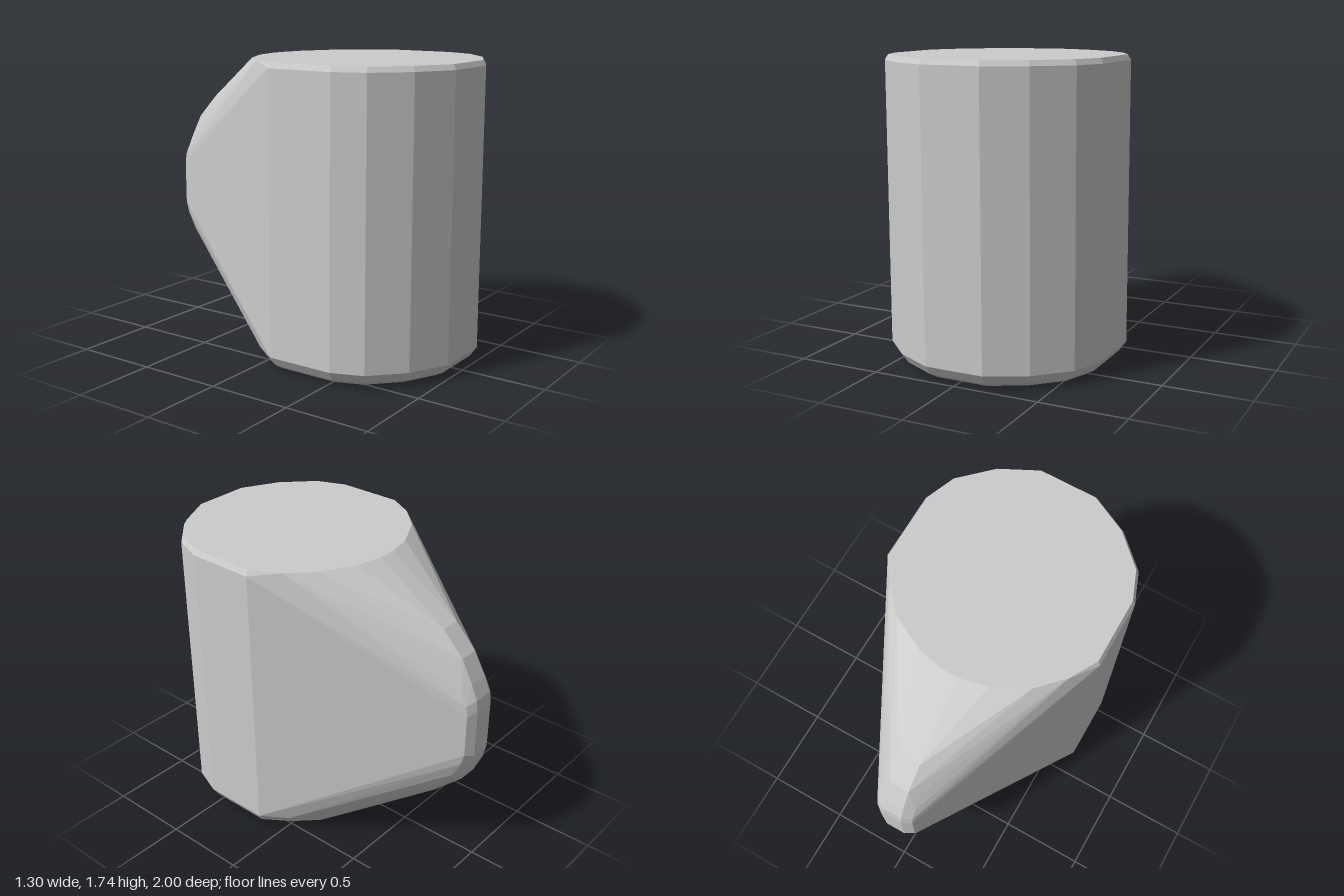
import * as THREE from 'three';
import { ConvexGeometry } from 'three/addons/geometries/ConvexGeometry.js';

const CENTRE_Z = 0.345;

// Half outline of the round body, front to back: [x, z]
const outline = [
  [0.175, 1], [0.4, 0.885], [0.58, 0.71], [0.65, 0.53], [0.65, 0.125],
  [0.545, -0.03], [0.41, -0.17], [0.21, -0.275], [0.05, -0.31],
];

// Body rings from bottom to top: [y, scale of the outline]
const rings = [[0, 0.87], [0.03, 0.945], [0.085, 1], [1.71, 1], [1.74, 0.975]];

// Rounded handle rim seen from the side: [z, y]
const rim = [
  [-0.75, 1.455], [-0.88, 1.32], [-0.95, 1.19], [-0.99, 1.1], [-1, 1.03],
  [-1, 0.74], [-0.98, 0.66], [-0.93, 0.55], [-0.75, 0.38],
];

export function createModel() {
  const group = new THREE.Group();
  const points = [];
  const addPair = (x, y, z) => points.push(new THREE.Vector3(x, y, z), new THREE.Vector3(-x, y, z));

  // Cylindrical body with bevelled top and bottom edges
  for (const [y, s] of rings) {
    for (const [x, z] of outline) {
      // the back of the top edge keeps its full reach
      const k = y > 1.72 && z < 0 ? 1 : s;
      addPair(x * k, y, CENTRE_Z + (z - CENTRE_Z) * k);
    }
  }

  // Narrow handle rim: a middle strip and an inset strip on each side
  for (const [z, y] of rim) {
    addPair(0.06, y, z);
    addPair(0.115, 0.9 + (y - 0.9) * 0.88, z + 0.03);
  }

  // One faceted convex shell wraps body and handle
  const shell = new THREE.Mesh(
    new ConvexGeometry(points),
    new THREE.MeshStandardMaterial({ color: 0xcccccc, flatShading: true }),
  );
  shell.name = 'mugShell';
  group.add(shell);
  return group;
}
